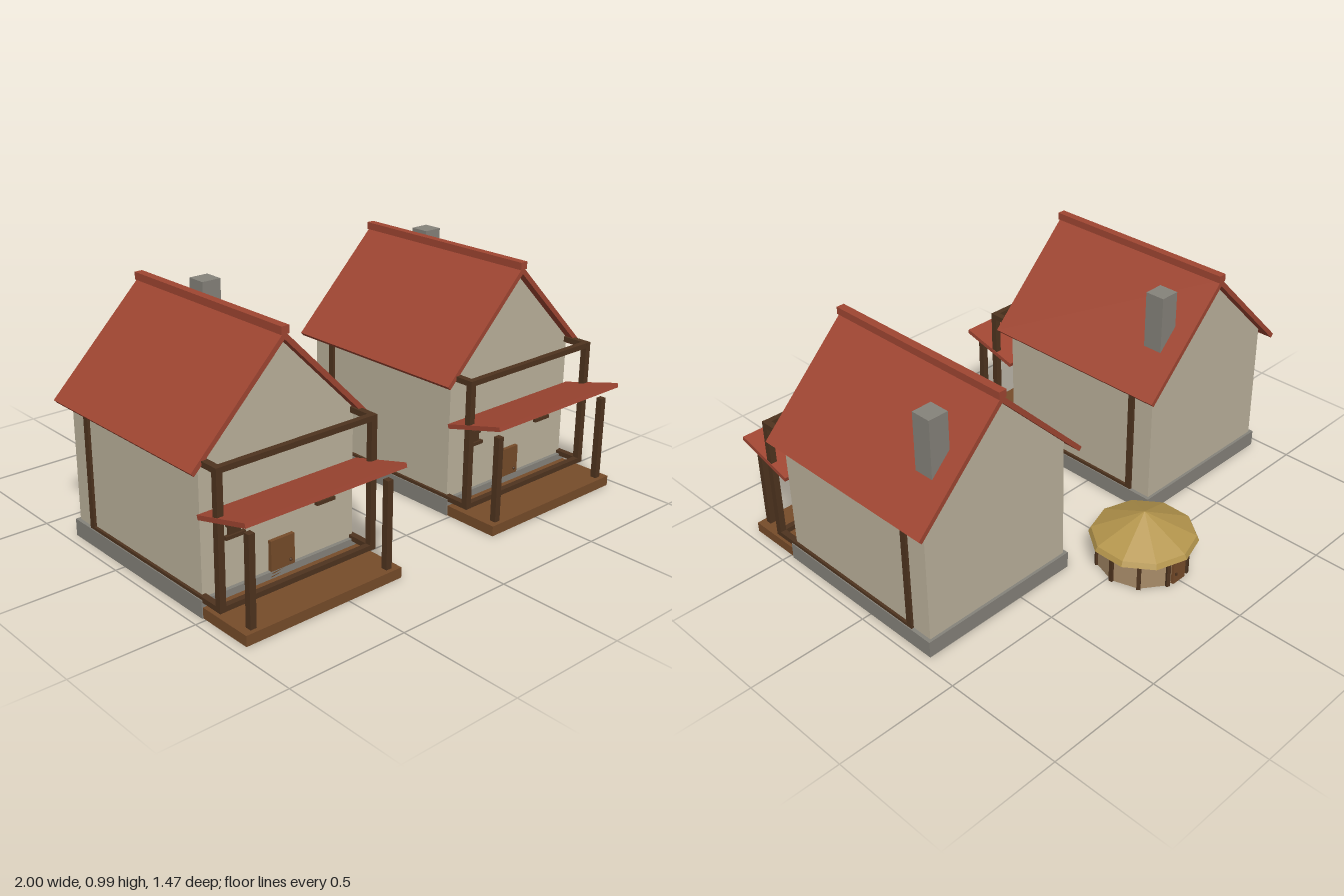
import * as THREE from 'three';

const mat = (name, color) => {
  const m = new THREE.MeshStandardMaterial({ color });
  m.name = name;
  return m;
};

export function createModel() {
  const roofRed = mat('roof tile red', 0xa04632);
  const plaster = mat('plaster beige', 0xbdb39d);
  const stone = mat('stone grey', 0x86837b);
  const timber = mat('dark timber', 0x4f341f);
  const deckWood = mat('deck brown', 0x774c2a);
  const thatch = mat('straw thatch', 0xb4954c);
  const plank = mat('pale planks', 0xa88b68);

  const add = (parent, name, geo, material, x = 0, y = 0, z = 0) => {
    const m = new THREE.Mesh(geo, material);
    m.name = name;
    m.position.set(x, y, z);
    parent.add(m);
    return m;
  };
  // Box given by its min and max on each axis
  const box = (parent, name, material, [x0, x1], [y0, y1], [z0, z1]) =>
    add(parent, name, new THREE.BoxGeometry(x1 - x0, y1 - y0, z1 - z0), material,
      (x0 + x1) / 2, (y0 + y1) / 2, (z0 + z1) / 2);
  // Outline in x and y, extruded from z0 to z1
  const prism = (parent, name, material, pts, z0, z1) =>
    add(parent, name, new THREE.ExtrudeGeometry(
      new THREE.Shape(pts.map(([x, y]) => new THREE.Vector2(x, y))),
      { depth: z1 - z0, bevelEnabled: false }), material, 0, 0, z0);

  function createHouse() {
    const h = new THREE.Group();
    h.name = 'house';

    // Stone base and gabled walls
    box(h, 'foundation', stone, [-0.36, 0.36], [0, 0.07], [-0.337, 0.483]);
    prism(h, 'walls', plaster,
      [[-0.345, 0.07], [0.345, 0.07], [0.345, 0.595], [0, 0.94], [-0.345, 0.595]], -0.325, 0.467);

    // Roof slopes, ridge and chimney
    for (const s of [-1, 1]) {
      prism(h, 'roofSlope', roofRed,
        [[0, 0.936], [s * 0.387, 0.549], [s * 0.4, 0.563], [0, 0.965]], -0.365, 0.505);
    }
    box(h, 'roofRidge', roofRed, [-0.017, 0.017], [0.955, 0.985], [-0.368, 0.509]);
    box(h, 'chimney', stone, [0.173, 0.258], [0.69, 0.945], [-0.282, -0.197]);

    // Timber frame standing forward of the front wall
    const levels = [[0.061, 0.082], [0.575, 0.597]];
    for (const s of [-1, 1]) {
      const xs = [Math.min(s * 0.33, s * 0.356), Math.max(s * 0.33, s * 0.356)];
      for (const zs of [[0.558, 0.584], [-0.235, -0.208]]) {
        box(h, 'framePost', timber, xs, [0.061, 0.597], zs);
      }
      for (const ys of levels) box(h, 'sideBeam', timber, xs, ys, [-0.235, 0.584]);
    }
    for (const ys of levels) box(h, 'frontBeam', timber, [-0.356, 0.356], ys, [0.559, 0.583]);

    // Porch deck, posts and tilted awning
    box(h, 'porchDeck', deckWood, [-0.355, 0.355], [0, 0.042], [0.48, 0.724]);
    for (const s of [-1, 1]) {
      box(h, 'porchPost', timber, [s * 0.31 - 0.013, s * 0.31 + 0.013], [0.042, 0.395], [0.68, 0.706]);
    }
    const awning = add(h, 'porchRoof', new THREE.BoxGeometry(0.716, 0.018, 0.272), roofRed, 0, 0.416, 0.604);
    awning.rotation.x = -0.258;

    // Shuttered windows with sill and crossbar
    for (const x of [-0.205, 0.205]) {
      box(h, 'windowShutter', timber, [x - 0.027, x + 0.027], [0.272, 0.353], [0.466, 0.474]);
      box(h, 'windowBar', timber, [x - 0.035, x + 0.035], [0.306, 0.321], [0.466, 0.478]);
      box(h, 'windowSill', timber, [x - 0.043, x + 0.043], [0.259, 0.273], [0.466, 0.482]);
    }

    // Door and knob
    box(h, 'door', deckWood, [-0.054, 0.054], [0.042, 0.19], [0.466, 0.483]);
    add(h, 'doorKnob', new THREE.SphereGeometry(0.006, 8, 6), timber, 0.033, 0.092, 0.486);
    return h;
  }

  // Round hut with ten sides
  function createHut() {
    const hut = new THREE.Group();
    hut.name = 'hut';
    const step = Math.PI / 5;
    const wall = new THREE.CylinderGeometry(0.184, 0.184, 0.125, 10, 1, false, step / 2).toNonIndexed();
    wall.computeVertexNormals();
    add(hut, 'hutWall', wall, plank, 0, 0.0625, 0);

    for (let i = 0; i < 10; i++) {
      const a = (i + 0.5) * step;
      const p = add(hut, 'hutPost', new THREE.BoxGeometry(0.016, 0.122, 0.016), timber,
        Math.sin(a) * 0.184, 0.061, Math.cos(a) * 0.184);
      p.rotation.y = a;
    }

    // Thatched cone with a steep brim
    const profile = [[0, 0.118], [0.218, 0.118], [0.208, 0.139], [0, 0.235]];
    const roof = new THREE.LatheGeometry(profile.map(([r, y]) => new THREE.Vector2(r, y)), 10).toNonIndexed();
    roof.computeVertexNormals();
    add(hut, 'hutRoof', roof, thatch);

    // Rear door with handle
    box(hut, 'hutDoor', deckWood, [-0.035, 0.035], [0, 0.1], [-0.187, -0.17]);
    box(hut, 'hutDoorHandle', timber, [0.018, 0.026], [0.038, 0.05], [-0.192, -0.185]);
    return hut;
  }

  const model = new THREE.Group();
  model.name = 'village';
  for (const x of [-0.6, 0.6]) {
    const house = createHouse();
    house.position.x = x;
    model.add(house);
  }
  const hut = createHut();
  hut.position.z = -0.518;
  model.add(hut);
  return model;
}
